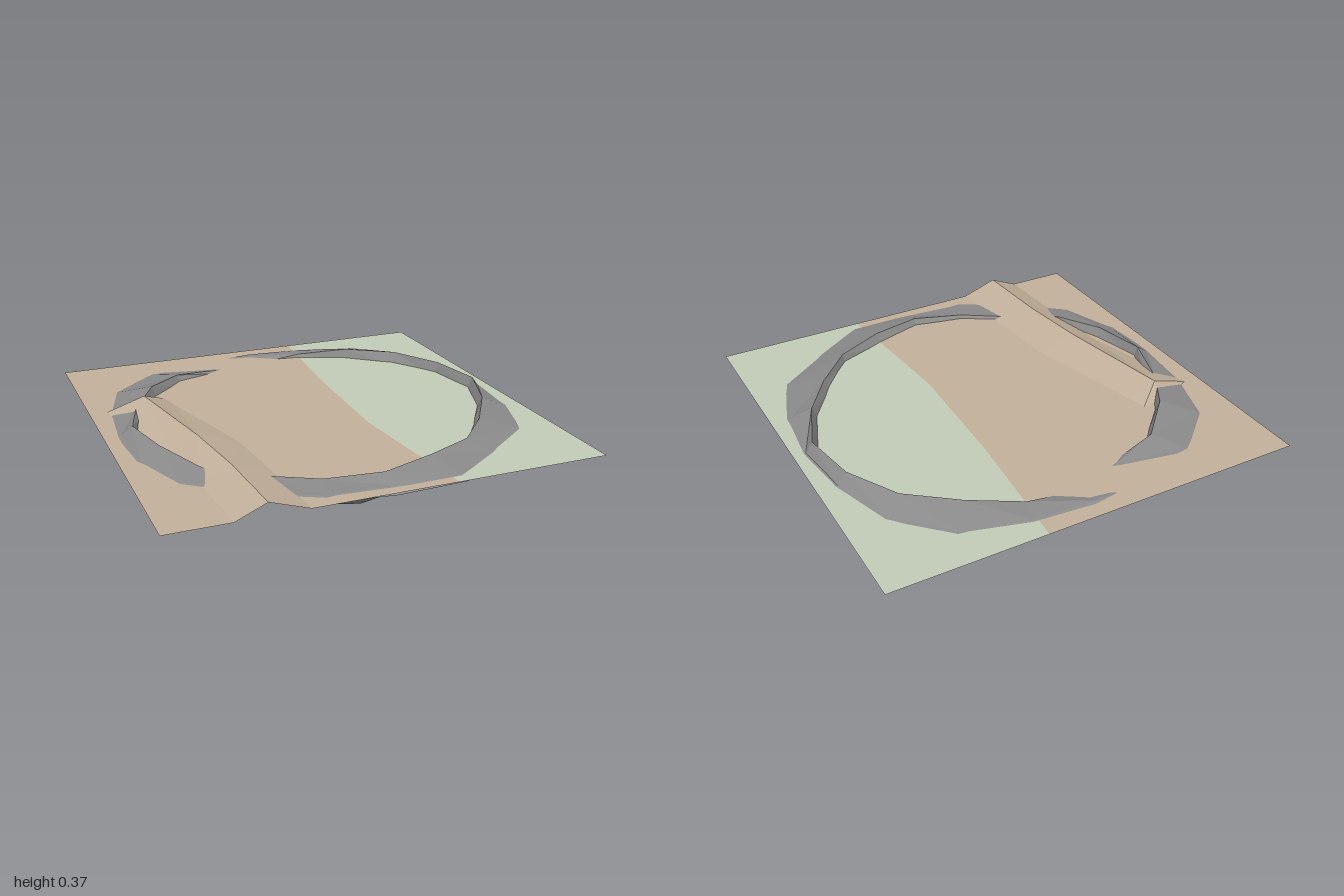
import * as THREE from 'three';

// Surface through a grid of points: rows[i][j] = [x, y, z]
function gridMesh(name, rows, color) {
  const cols = rows[0].length, index = [];
  for (let i = 0; i < rows.length - 1; i++) {
    for (let j = 0; j < cols - 1; j++) {
      const a = i * cols + j, b = a + 1, c = a + cols, d = c + 1;
      index.push(a, c, b, b, c, d);
    }
  }
  const geo = new THREE.BufferGeometry();
  geo.setAttribute('position', new THREE.Float32BufferAttribute(rows.flat(2), 3));
  geo.setIndex(index);
  const flat = geo.toNonIndexed();
  flat.computeVertexNormals();
  const mesh = new THREE.Mesh(flat, new THREE.MeshStandardMaterial({
    color, flatShading: true, side: THREE.DoubleSide, roughness: 1,
  }));
  mesh.name = name;
  return mesh;
}

const GROUND = 0.315;

// Flat tile with a low dune running in from the front edge
function addGround(group) {
  // z, dune foot, dune crest, dune other foot, crest height, sand border
  const stations = [
    [-1, -0.80, -0.72, -0.61, GROUND, 0.275],
    [-0.42, -0.80, -0.72, -0.61, GROUND, 0.225],
    [-0.33, -0.92, -0.73, -0.59, 0.375, 0.22],
    [0.25, -0.76, -0.63, -0.44, 0.375, 0.20],
    [0.6, -0.73, -0.59, -0.415, 0.375, 0.23],
    [1, -0.71, -0.57, -0.39, 0.375, 0.27],
  ];
  const sand = stations.map(([z, l, c, r, h, e]) => [
    [-1, GROUND, z], [l, GROUND, z], [c, h, z], [r, GROUND, z], [e, GROUND, z],
  ]);
  const grass = stations.map(([z, , , , , e]) => [[e, GROUND, z], [1, GROUND, z]]);
  group.add(gridMesh('sandGround', sand, 0xc2b09b));
  group.add(gridMesh('grassGround', grass, 0xc1ccb7));
}

// Irregular crater: sunken terraced bowl, raised rim and buried skirt
function addCrater(group) {
  const crestR = [0.905, 0.85, 0.82, 0.83, 0.82, 0.85, 0.83, 0.81, 0.86, 0.85,
    0.865, 0.83, 0.81, 0.81, 0.77, 0.80, 0.83, 0.85, 0.89, 0.90];
  const crestY = [0.365, 0.36, 0.35, 0.35, 0.355, 0.345, 0.33, 0.325, 0.34, 0.36,
    0.36, 0.345, 0.365, 0.345, 0.317, 0.30, 0.33, 0.36, 0.365, 0.365];
  const outerR = [0.94, 0.955, 1.0, 0.95, 0.985, 0.94, 0.965, 0.96, 0.99, 0.95,
    0.925, 0.94, 0.99, 0.975, 0.90, 0.91, 0.94, 1.0, 1.0, 0.95];
  const N = crestR.length;
  // bowl profile: fraction of the crest radius, height, unevenness
  const bowl = [[0, 0.005, 0], [0.25, 0.01, 0.008], [0.41, 0.05, 0.012], [0.5, 0.085, 0.01],
    [0.73, 0.1, 0.012], [0.89, 0.195, 0.02], [0.965, 0.298, 0.008]];
  const ring = (fn) => Array.from({ length: N + 1 }, (_, i) => {
    const k = i % N, a = (k / N) * Math.PI * 2, [r, y] = fn(k, a);
    return [r * Math.cos(a), y, r * Math.sin(a)];
  });
  const rows = bowl.map(([f, y, j], n) => ring((k) => [
    crestR[k] * f * (1 + j * Math.sin(k * 2.7 + n)),
    Math.max(0, y + j * Math.sin(k * 1.9 + n * 2)),
  ]));
  rows.push(ring((k) => [crestR[k], crestY[k]]));
  rows.push(ring((k) => [outerR[k], k === 14 ? 0.303 : k === 15 ? 0.321 : 0.318]));
  rows.push(ring((k, a) => {
    const reach = 0.985 / Math.max(Math.abs(Math.cos(a)), Math.abs(Math.sin(a)));
    return [Math.min(outerR[k] + 0.05, reach), 0.302 + 0.006 * Math.sin(k * 2.3)];
  }));
  group.add(gridMesh('crater', rows, 0x8a8a8a));
}

export function createModel() {
  const group = new THREE.Group();
  group.name = 'craterTile';
  addGround(group);
  addCrater(group);
  return group;
}
